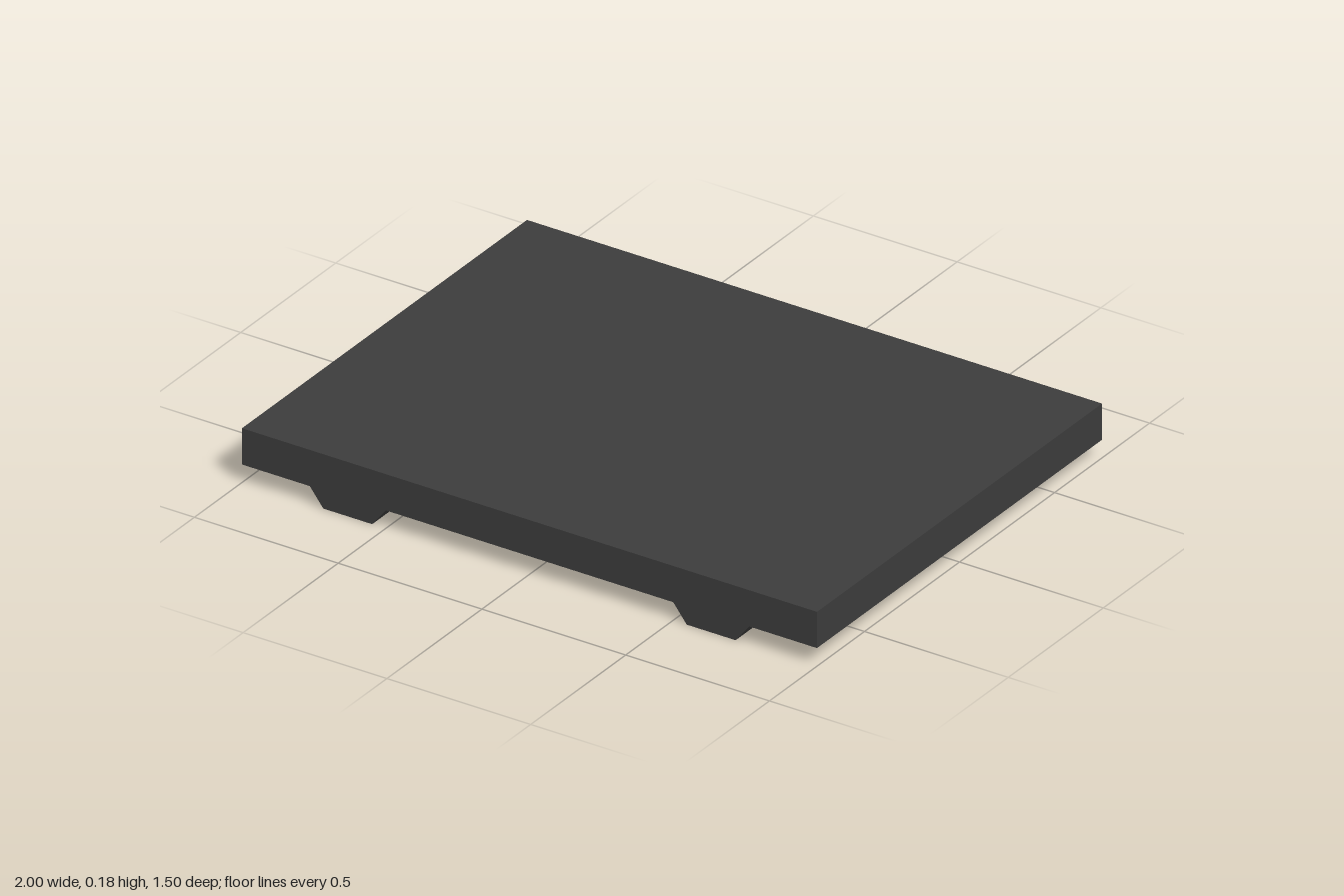
import * as THREE from 'three';

const UNDER = 0.06; // height of the slab's underside

export function createModel() {
  const group = new THREE.Group();
  const material = new THREE.MeshStandardMaterial({ color: 0x3c3c3c, flatShading: true });

  const add = (name, geometry, x = 0, y = 0, z = 0) => {
    const mesh = new THREE.Mesh(geometry, material);
    mesh.name = name;
    mesh.position.set(x, y, z);
    group.add(mesh);
    return mesh;
  };
  // Box hanging from the underside, sunk slightly into the slab
  const hang = (name, w, depth, d, x, z) =>
    add(name, new THREE.BoxGeometry(w, depth + 0.004, d), x, UNDER + 0.002 - depth / 2, z);

  // Main floor slab
  add('slab', new THREE.BoxGeometry(2, 0.12, 1.5), 0, 0.12, 0);

  // Trapezoid runner section between two z positions, centred on the runner
  const runner = (name, x, bottom, z0, z1) => {
    const flat = 0.085 + bottom * 0.79;
    const shape = new THREE.Shape([
      new THREE.Vector2(-0.132, UNDER), new THREE.Vector2(-flat, bottom),
      new THREE.Vector2(flat, bottom), new THREE.Vector2(0.132, UNDER),
    ]);
    add(name, new THREE.ExtrudeGeometry(shape, { depth: z1 - z0, bevelEnabled: false }), x, 0, z0);
  };

  // Flat half ring lying against the runner
  const halfRing = (inner, outer, depth) => {
    const shape = new THREE.Shape();
    shape.absarc(0, 0, outer, -Math.PI / 2, Math.PI / 2, false);
    shape.absarc(0, 0, inner, Math.PI / 2, -Math.PI / 2, true);
    const geometry = new THREE.ExtrudeGeometry(shape, { depth, bevelEnabled: false, curveSegments: 10 });
    return geometry.rotateX(Math.PI / 2);
  };

  for (const side of [-1, 1]) {
    // Runners: deep at both ends, shallower in the middle
    runner('runnerBack', side * 0.632, 0, -0.75, -0.255);
    runner('runnerMiddle', side * 0.632, 0.012, -0.255, 0.255);
    runner('runnerFront', side * 0.632, 0, 0.255, 0.75);

    // Lengthwise ribs
    for (const x of [0.17, 0.205, 0.24, 0.275, 0.31])
      hang('rib', 0.015, 0.004, 1.36, side * x, 0);

    // Small studs along the outer rib
    for (let i = -3; i <= 3; i++)
      hang('stud', 0.012, 0.014, 0.03, side * 0.345, i * 0.18);

    // Side plates beside the runners and thin plates on the outer flanges
    hang('sidePlate', 0.1, 0.004, 0.8, side * 0.44, 0);
    hang('flangePlate', 0.1, 0.002, 1.1, side * 0.94, 0);
    hang('flangePlateInner', 0.12, 0.002, 0.5, side * 0.83, 0);

    // Concentric corner rings
    for (const z of [-0.63, 0.63])
      for (const r of [0.03, 0.06, 0.09]) {
        const ring = add('cornerRing', halfRing(r, r + 0.017, 0.009), side * 0.5, UNDER + 0.002, z);
        if (side > 0) ring.rotation.y = Math.PI;
      }
  }

  // Row of centre panels
  for (let i = -2; i <= 2; i++) hang('centrePanel', 0.18, 0.004, 0.23, 0, i * 0.28);

  return group;
}
